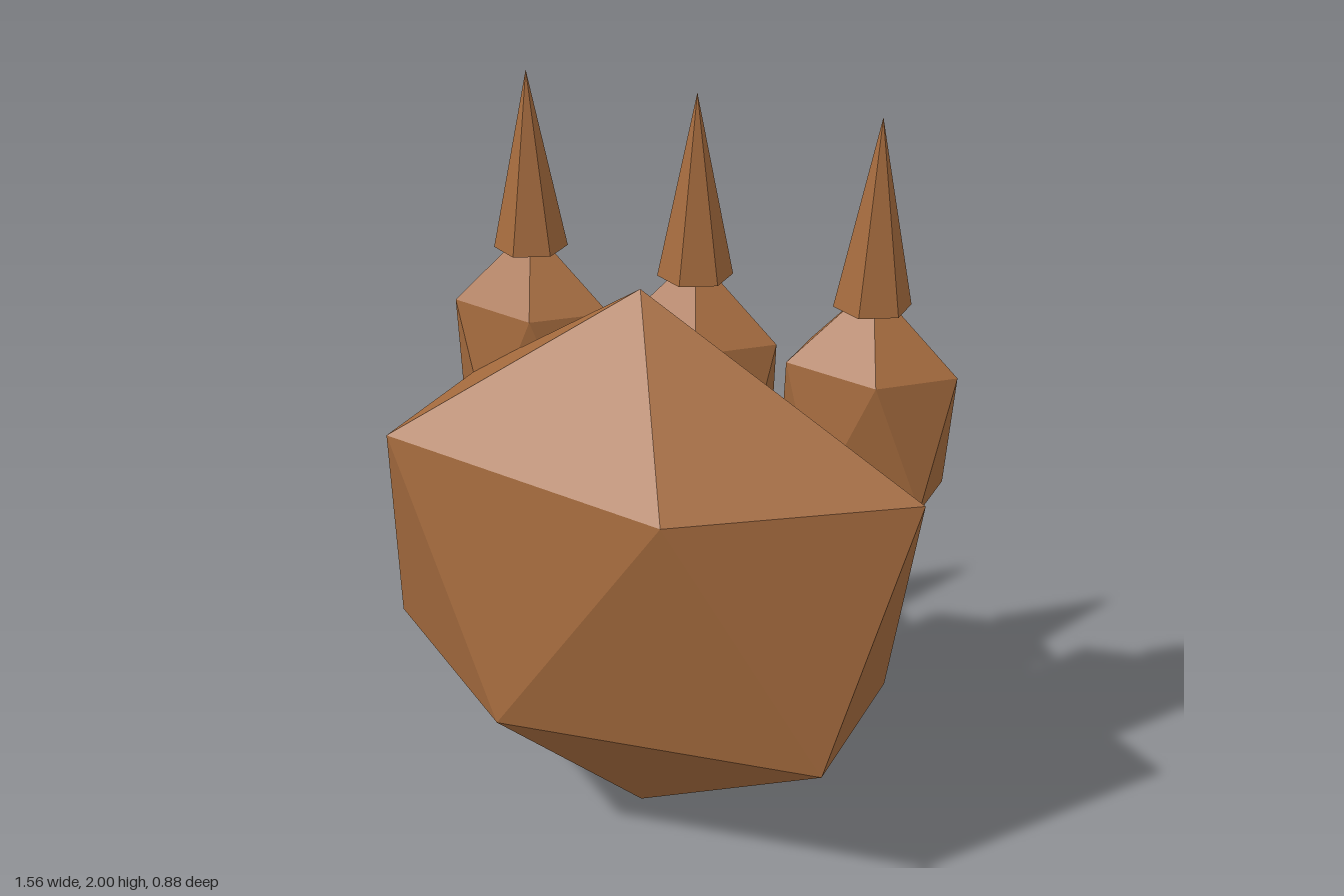
import * as THREE from 'three';

// Twenty-faced gem standing on one point, with two staggered rings of five corners
function gemGeometry(rx, ry, rz) {
  const h = 1 / Math.sqrt(5), r = 2 / Math.sqrt(5);
  const corner = (deg, y) => {
    const a = THREE.MathUtils.degToRad(deg);
    return new THREE.Vector3(Math.cos(a) * r * rx, y * ry, Math.sin(a) * r * rz);
  };
  const top = new THREE.Vector3(0, ry, 0);
  const bottom = new THREE.Vector3(0, -ry, 0);
  const points = [];
  for (let k = 0; k < 5; k++) {
    const u0 = corner(72 * k, h), u1 = corner(72 * (k + 1), h);
    const l0 = corner(72 * k + 36, -h), l1 = corner(72 * (k + 1) + 36, -h);
    points.push(top, u1, u0, u0, u1, l0, l1, l0, u1, bottom, l0, l1);
  }
  const geometry = new THREE.BufferGeometry().setFromPoints(points);
  geometry.computeVertexNormals();
  return geometry;
}

export function createModel() {
  const model = new THREE.Group();
  const brown = new THREE.MeshStandardMaterial({ color: 0xa56b3e, flatShading: true });
  brown.name = 'brown';

  const add = (parent, name, geometry, x, y, z) => {
    const mesh = new THREE.Mesh(geometry, brown);
    mesh.name = name;
    mesh.position.set(x, y, z);
    parent.add(mesh);
  };

  // Large faceted body
  add(model, 'body', gemGeometry(0.872, 0.792, 0.456), 0, 0.792, 0.052);

  // Row of three spiked pods along the back
  const podGeometry = gemGeometry(0.268, 0.394, 0.182);
  const spikeGeometry = new THREE.ConeGeometry(0.102, 0.495, 6);
  [['rightSpine', -0.5], ['middleSpine', 0], ['leftSpine', 0.5]].forEach(([name, x]) => {
    const spine = new THREE.Group();
    spine.name = name;
    spine.position.set(x, 0, -0.283);
    add(spine, 'pod', podGeometry, 0, 1.17, 0);
    add(spine, 'spike', spikeGeometry, 0, 1.7525, 0);
    model.add(spine);
  });

  return model;
}
